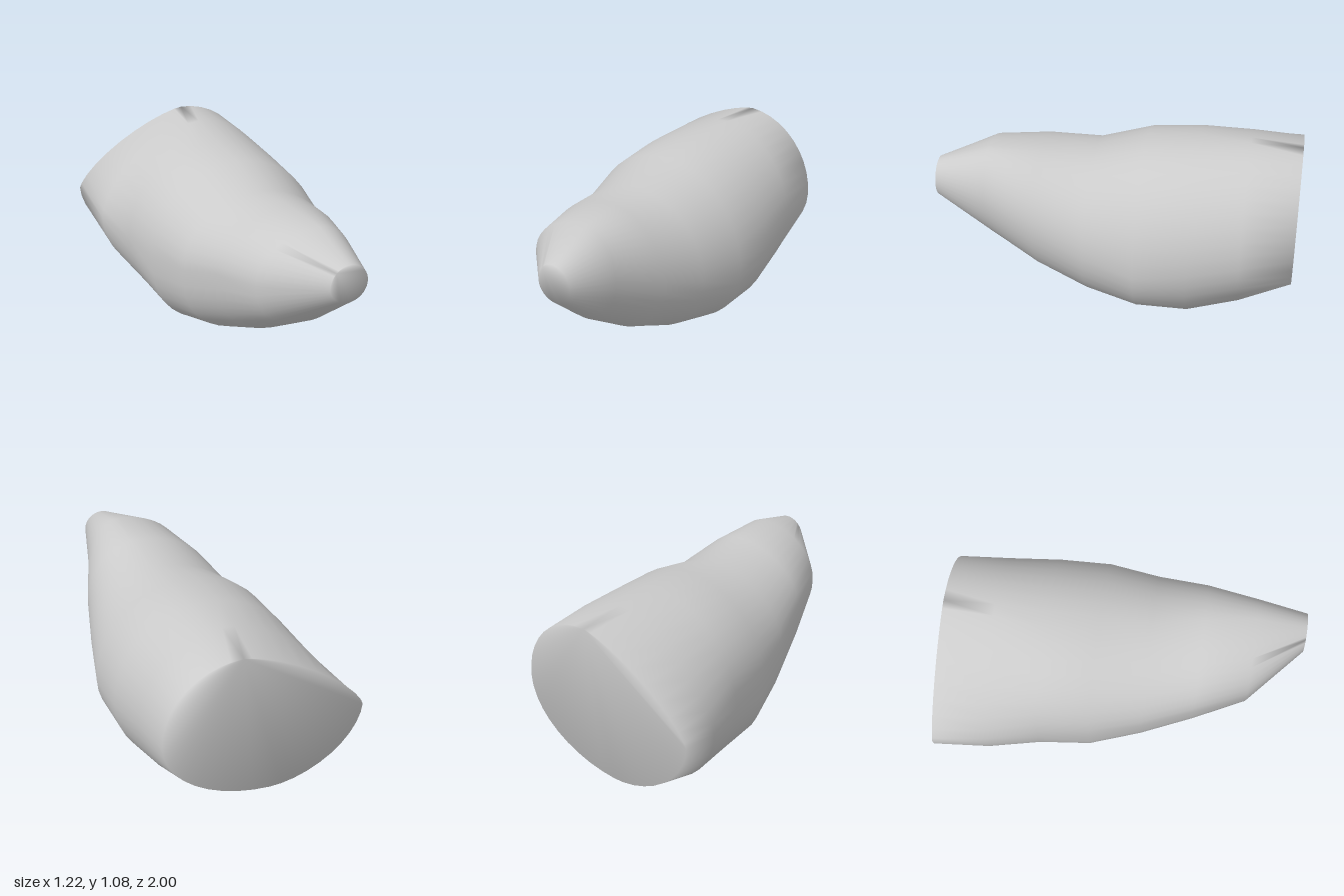
import * as THREE from 'three';

// Cross-sections from back to front: z, [left x, y], [right x, y], [bottom x, y], [top x, y],
// then the roundness of the upper left and lower left quarters (2 is an ellipse)
const SECTIONS = [
  [-1.0, [-0.61, 0.63], [0.50, 0.62], [-0.10, 0.20], [0.07, 1.07], 1.37, 1.8],
  [-0.714, [-0.555, 0.54], [0.54, 0.56], [-0.03, 0.065], [0.08, 1.08], 1.65, 1.95],
  [-0.43, [-0.475, 0.52], [0.59, 0.51], [0.03, 0.0], [0.08, 1.06], 2.05, 2.1],
  [-0.143, [-0.435, 0.53], [0.61, 0.48], [0.06, 0.035], [0.10, 1.04], 2.1, 2.55],
  [0.143, [-0.35, 0.57], [0.56, 0.54], [0.12, 0.12], [0.12, 0.97], 1.95, 2.6],
  [0.43, [-0.26, 0.67], [0.50, 0.64], [0.16, 0.255], [0.17, 1.0], 1.95, 2.5],
  [0.714, [-0.15, 0.72], [0.415, 0.74], [0.18, 0.44], [0.21, 1.0], 2, 2.4],
  [1.0, [0.14, 0.79], [0.355, 0.80], [0.25, 0.69], [0.25, 0.91], 2, 2],
];
const SIDES = 40;

// Point on a closed outline made of four joined quarter curves
function outlinePoint([z, left, right, bottom, top, upperLeft, lowerLeft], angle) {
  const c = Math.cos(angle), s = Math.sin(angle);
  const side = c >= 0 ? right : left;
  const cap = s >= 0 ? top : bottom;
  const roundness = c >= 0 ? 2 : s >= 0 ? upperLeft : lowerLeft;
  const u = Math.pow(Math.abs(c), 2 / roundness);
  const v = Math.pow(Math.abs(s), 2 / roundness);
  return [cap[0] + (side[0] - cap[0]) * u, side[1] + (cap[1] - side[1]) * v, z];
}

// Smooth tapered shell through the sections, closed by a fan at each end
function loftGeometry() {
  const positions = [], index = [];
  for (const section of SECTIONS) {
    for (let j = 0; j < SIDES; j++) {
      positions.push(...outlinePoint(section, (j / SIDES) * Math.PI * 2));
    }
  }
  for (let i = 0; i < SECTIONS.length - 1; i++) {
    for (let j = 0; j < SIDES; j++) {
      const k = (j + 1) % SIDES;
      const a = i * SIDES + j, b = i * SIDES + k;
      index.push(a, b, b + SIDES, a, b + SIDES, a + SIDES);
    }
  }
  // End faces radiate from one point of their ring: the top at the back, upper left in front
  const backApex = SIDES / 4, frontApex = SIDES / 4 + 5;
  const last = (SECTIONS.length - 1) * SIDES;
  for (let j = 1; j < SIDES - 1; j++) {
    index.push(backApex, (backApex + j + 1) % SIDES, (backApex + j) % SIDES);
    index.push(last + frontApex, last + (frontApex + j) % SIDES, last + (frontApex + j + 1) % SIDES);
  }
  const geometry = new THREE.BufferGeometry();
  geometry.setAttribute('position', new THREE.Float32BufferAttribute(positions, 3));
  geometry.setIndex(index);
  geometry.computeVertexNormals();
  return geometry;
}

export function createModel() {
  const group = new THREE.Group();
  const body = new THREE.Mesh(loftGeometry(), new THREE.MeshStandardMaterial({ color: 0xcccccc }));
  body.name = 'taperedBody';
  group.add(body);
  return group;
}
